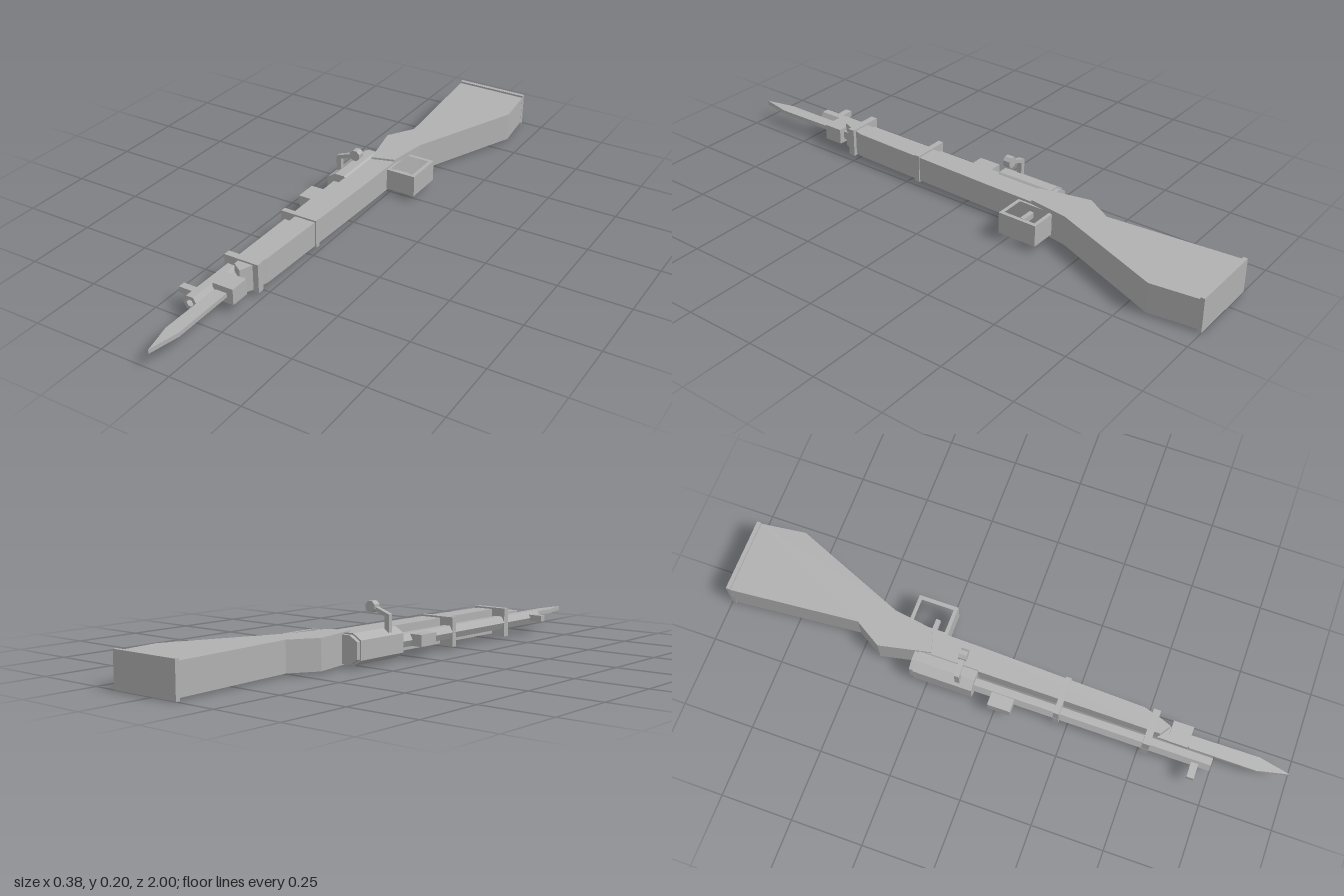
import * as THREE from 'three';

export function createModel() {
  const group = new THREE.Group();
  const grey = new THREE.MeshStandardMaterial({ color: 0xb0b0b0 });
  grey.name = 'plain grey';

  const add = (name, geometry) => {
    const mesh = new THREE.Mesh(geometry, grey);
    mesh.name = name;
    group.add(mesh);
    return mesh;
  };
  const outline = (points) => new THREE.Shape(points.map(([a, b]) => new THREE.Vector2(a, b)));
  const extrude = (shape, depth) => new THREE.ExtrudeGeometry(shape, { depth, bevelEnabled: false });

  // Slab: an (x, z) outline raised from y0 to y1, with an optional hole
  const slab = (name, points, y0, y1, hole) => {
    const shape = outline(points.map(([x, z]) => [x, -z]));
    if (hole) shape.holes.push(outline(hole.map(([x, z]) => [x, -z])));
    return add(name, extrude(shape, y1 - y0).rotateX(-Math.PI / 2).translate(0, y0, 0));
  };
  // Bar: an (x, y) outline running from z0 to z1, with an optional hole
  const bar = (name, points, z0, z1, hole) => {
    const shape = outline(points);
    if (hole) shape.holes.push(outline(hole));
    return add(name, extrude(shape, z1 - z0).translate(0, 0, z0));
  };
  const box = (name, x0, x1, y0, y1, z0, z1) =>
    add(name, new THREE.BoxGeometry(x1 - x0, y1 - y0, z1 - z0)
      .translate((x0 + x1) / 2, (y0 + y1) / 2, (z0 + z1) / 2));
  const ring = (cx, cy, r, sides, turn = 0) => Array.from({ length: sides }, (_, i) => {
    const a = turn + (i / sides) * Math.PI * 2;
    return [cx + r * Math.cos(a), cy + r * Math.sin(a)];
  });
  const rect = (x0, x1, z0, z1) => [[x0, z0], [x1, z0], [x1, z1], [x0, z1]];

  // Wooden furniture
  slab('buttStock', [[-0.1, -0.99], [0.167, -0.99], [0.187, -0.825], [0.022, -0.425],
    [0, -0.28], [-0.08, -0.255], [-0.118, -0.435], [-0.06, -0.53]], 0.009, 0.113);
  box('buttPlate', -0.1, 0.168, 0, 0.12, -1, -0.985);
  slab('foreStock', [[-0.088, -0.3], [0, -0.3], [-0.003, -0.1], [-0.02, 0.48],
    [-0.036, 0.535], [-0.053, 0.58], [-0.09, 0.555]], 0.017, 0.106);

  // Barrel with an open muzzle
  const cx = -0.118, cy = 0.06;
  bar('barrel', ring(cx, cy, 0.026, 6), -0.1, 0.745, ring(cx, cy, 0.013, 6));
  bar('boreFloor', ring(cx, cy, 0.014, 6), 0.6, 0.7);

  // Bands around barrel and fore stock
  box('frontBand', -0.143, -0.016, 0.01, 0.112, 0.51, 0.535);
  box('rearBand', -0.143, -0.008, 0.01, 0.112, 0.2, 0.22);

  // Receiver and its rear cap
  const octagon = (s) => [[0.05, 0.022], [0.02, 0.052], [-0.015, 0.052], [-0.048, 0.032],
    [-0.048, -0.032], [-0.015, -0.052], [0.02, -0.052], [0.05, -0.022]]
    .map(([x, y]) => [-0.11 + x * s, cy + y * s]);
  bar('receiver', octagon(1), -0.295, -0.085);
  bar('receiverCap', octagon(0.9), -0.31, -0.29);

  // Sights
  box('rearSight', -0.18, -0.13, 0.04, 0.08, -0.02, 0.06);
  box('frontSight', -0.19, -0.13, 0.05, 0.072, 0.68, 0.705);

  // Bolt handle: bent arm and faceted knob
  bar('boltHandle', [[-0.147, 0.07], [-0.13, 0.07], [-0.13, 0.15], [-0.07, 0.172],
    [-0.074, 0.184], [-0.147, 0.158]], -0.147, -0.13);
  bar('boltKnob', ring(-0.072, 0.178, 0.02, 8, Math.PI / 8), -0.152, -0.126);

  // Trigger guard and trigger
  slab('triggerGuard', rect(-0.004, 0.108, -0.37, -0.228), 0.022, 0.098,
    rect(0.008, 0.094, -0.357, -0.241));
  box('trigger', -0.02, 0.054, 0.05, 0.07, -0.291, -0.275);

  // Bayonet
  box('bayonetMount', -0.1, -0.025, 0.032, 0.088, 0.585, 0.655);
  box('bayonetNeck', -0.095, -0.045, 0.045, 0.075, 0.55, 0.59);
  slab('bayonetBlade', [[-0.083, 0.65], [-0.048, 0.65], [-0.045, 0.89], [-0.068, 1],
    [-0.093, 0.89], [-0.093, 0.66]], 0.053, 0.068);

  return group;
}
